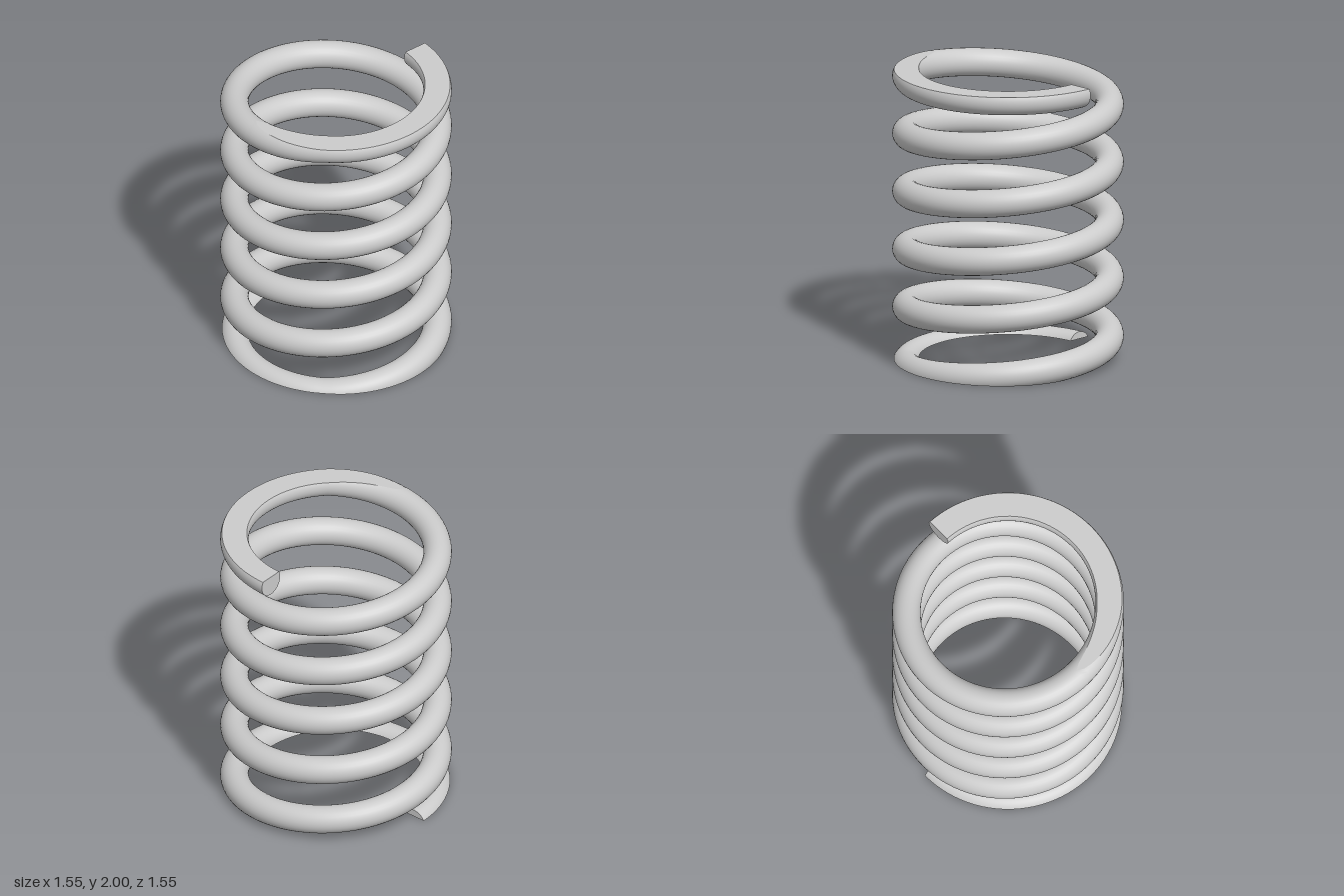
import * as THREE from 'three';

const COIL = 0.68, WIRE = 0.095, PITCH = 0.4;   // coil radius, wire radius, rise per turn
const LOW = -0.045, HIGH = 1.955;               // level end coils, before grinding
const FLOOR = 0, CEILING = 2;                   // ground-flat planes
const START = -Math.PI / 4, KNEE = Math.PI / 2; // wire start, where the rise begins
const END = KNEE + 5 * 2 * Math.PI + 0.75 * Math.PI;
const STEPS = 552, ARC = 14;

// Centre line: level end, five rising turns, level end
function centre(a) {
  const y = THREE.MathUtils.clamp(LOW + (PITCH * (a - KNEE)) / (2 * Math.PI), LOW, HIGH);
  return new THREE.Vector3(-COIL * Math.cos(a), y, COIL * Math.sin(a));
}

// Round wire section cut by the floor and ceiling planes:
// outer arc, top chord, inner arc, bottom chord
function section(a) {
  const c = centre(a);
  const t = centre(a + 0.02).sub(centre(a - 0.02)).normalize();
  const u = new THREE.Vector3(-Math.cos(a), 0, Math.sin(a));
  const v = new THREE.Vector3().crossVectors(u, t).normalize();
  const limit = (y) => Math.asin(THREE.MathUtils.clamp((y - c.y) / (WIRE * v.y), -1, 1));
  const lo = limit(FLOOR), hi = limit(CEILING);
  const arc = (from, to) => Array.from({ length: ARC + 1 }, (_, i) => {
    const f = from + ((to - from) * i) / ARC;
    const n = u.clone().multiplyScalar(Math.cos(f)).addScaledVector(v, Math.sin(f));
    return { p: c.clone().addScaledVector(n, WIRE), n };
  });
  const outer = arc(lo, hi), inner = arc(Math.PI - hi, Math.PI - lo);
  const chord = (from, to, y) => [from, to].map((s) => ({ p: s.p, n: new THREE.Vector3(0, y, 0) }));
  return {
    t, outer, inner,
    top: chord(outer[ARC], inner[0], 1),
    bottom: chord(inner[ARC], outer[0], -1),
  };
}

function springGeometry() {
  const positions = [], normals = [], index = [];
  const add = (p, n) => {
    positions.push(p.x, p.y, p.z);
    normals.push(n.x, n.y, n.z);
    return positions.length / 3 - 1;
  };
  const sections = Array.from({ length: STEPS + 1 }, (_, i) => section(START + ((END - START) * i) / STEPS));

  // Wire surface and ground flats, one strip for each side of the section
  for (const side of ['outer', 'top', 'inner', 'bottom']) {
    const rows = sections.map((s) => s[side].map(({ p, n }) => add(p, n)));
    const width = (s) => s[side][0].p.distanceTo(s[side][s[side].length - 1].p);
    for (let i = 0; i < STEPS; i++) {
      if (Math.max(width(sections[i]), width(sections[i + 1])) < 1e-6) continue;
      for (let j = 0; j < rows[i].length - 1; j++) {
        const a = rows[i][j], b = rows[i + 1][j], c = rows[i + 1][j + 1], d = rows[i][j + 1];
        index.push(a, b, d, b, c, d);
      }
    }
  }

  // Cut faces at both wire ends
  for (const [s, dir] of [[sections[0], -1], [sections[STEPS], 1]]) {
    const n = s.t.clone().multiplyScalar(dir);
    const ring = [...s.outer, ...s.inner].map(({ p }) => add(p, n));
    for (let j = 1; j < ring.length - 1; j++) {
      if (dir < 0) index.push(ring[0], ring[j], ring[j + 1]);
      else index.push(ring[0], ring[j + 1], ring[j]);
    }
  }

  const g = new THREE.BufferGeometry();
  g.setAttribute('position', new THREE.Float32BufferAttribute(positions, 3));
  g.setAttribute('normal', new THREE.Float32BufferAttribute(normals, 3));
  g.setIndex(index);
  return g;
}

export function createModel() {
  const group = new THREE.Group();
  group.name = 'compressionSpring';
  const coil = new THREE.Mesh(
    springGeometry(),
    new THREE.MeshStandardMaterial({ color: 0xcccccc, side: THREE.DoubleSide })
  );
  coil.name = 'coil';
  group.add(coil);
  return group;
}
